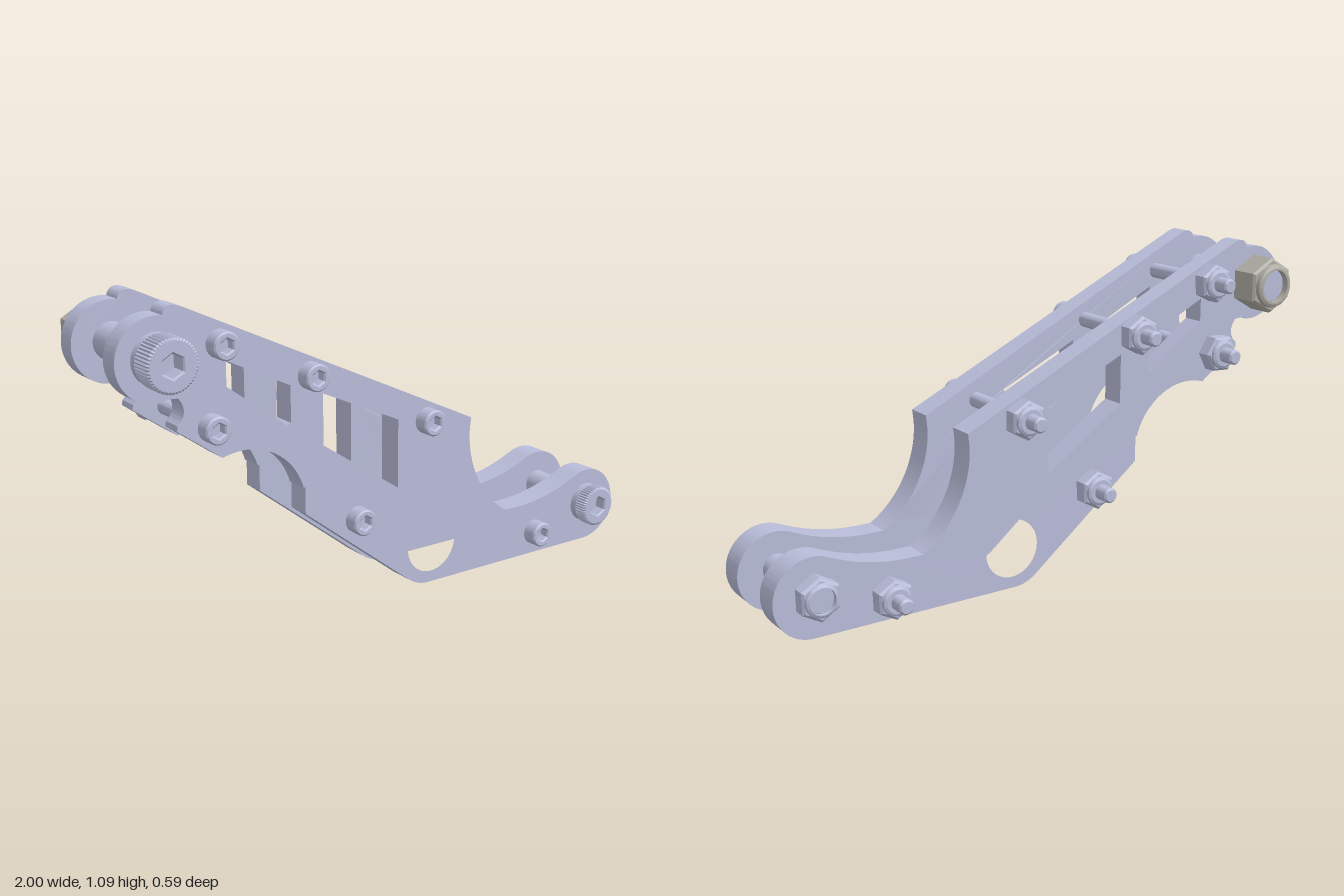
import * as THREE from 'three';
import { toCreasedNormals } from 'three/addons/utils/BufferGeometryUtils.js';

const steel = new THREE.MeshStandardMaterial({ color: 0xb8bcd8 });
steel.name = 'blue grey steel';
const nutGrey = new THREE.MeshStandardMaterial({ color: 0xb0aea5 });
nutGrey.name = 'warm grey steel';

const FRONT = 0.19, BACK = -0.168;

function mesh(name, geometry, material = steel) {
  const m = new THREE.Mesh(geometry, material);
  m.name = name;
  return m;
}

// Closed regular polygon; alternating radii give knurled teeth
function polygon(Kind, sides, r, r2 = r, turn = 0) {
  const pts = [];
  for (let i = 0; i < sides; i++) {
    const a = turn + (i / sides) * Math.PI * 2;
    const q = i % 2 ? r2 : r;
    pts.push(new THREE.Vector2(q * Math.cos(a), q * Math.sin(a)));
  }
  return new Kind(pts);
}

// Extrusion from z0 to z1, with chamfers included in the size
function prism(shape, z0, z1, chamfer = 0, crease = 0.5) {
  const g = new THREE.ExtrudeGeometry(shape, {
    depth: z1 - z0 - 2 * chamfer, curveSegments: 24, bevelEnabled: chamfer > 0,
    bevelThickness: chamfer, bevelSize: chamfer, bevelOffset: -chamfer, bevelSegments: 1,
  });
  g.translate(0, 0, z0 + chamfer);
  return toCreasedNormals(g, crease);
}

// Lathe whose axis runs along z; profile is [radius, z] pairs, z rising
function turned(profile, crease = 0.5) {
  const g = new THREE.LatheGeometry(profile.map(([r, z]) => new THREE.Vector2(r, z)), 32);
  g.rotateX(Math.PI / 2);
  g.scale(1, 1, 1);
  return toCreasedNormals(g, crease);
}

// Side plate outline with windows
function plateShape() {
  const s = new THREE.Shape();
  s.moveTo(-0.79, 1.085);
  s.lineTo(0.31, 0.565);
  s.lineTo(0.305, 0.52);
  s.bezierCurveTo(0.3, 0.39, 0.37, 0.26, 0.48, 0.195);
  s.lineTo(0.52, 0.195);
  s.quadraticCurveTo(0.67, 0.195, 0.8, 0.253);
  s.absarc(0.867, 0.137, 0.133, 2.08, -Math.PI / 2, true);
  s.lineTo(0.13, 0.006);
  s.quadraticCurveTo(0.09, 0.006, 0.05, 0.035);
  s.lineTo(-0.365, 0.36);
  s.lineTo(-0.365, 0.45);
  s.absarc(-0.59, 0.385, 0.228, 0.285, 1.88, false);
  s.lineTo(-0.81, 0.71);
  s.lineTo(-0.808, 0.727);
  s.quadraticCurveTo(-0.765, 0.765, -0.803, 0.81);
  s.quadraticCurveTo(-0.835, 0.815, -0.85, 0.807);
  s.absarc(-0.87, 0.935, 0.13, -1.42, 1.37, true);
  s.quadraticCurveTo(-0.835, 1.1, -0.79, 1.085);

  const windows = [
    [[-0.64, 0.9], [-0.64, 0.82], [-0.43, 0.665], [-0.415, 0.67], [-0.415, 0.79]],
    [[-0.295, 0.745], [-0.295, 0.575], [0, 0.375], [0, 0.61]],
  ];
  for (const w of windows) s.holes.push(new THREE.Path(w.map(([x, y]) => new THREE.Vector2(x, y))));
  const round = new THREE.Path();
  round.absarc(0.145, 0.145, 0.1, 0, Math.PI * 2, true);
  s.holes.push(round);
  return s;
}

// Plate with a flat outer face; the inner face thins toward the upper end
function sidePlate(name, outer, dir) {
  const z0 = dir > 0 ? outer - 0.092 : outer, z1 = z0 + 0.092;
  const g = new THREE.ExtrudeGeometry(plateShape(), { depth: z1 - z0, bevelEnabled: false, curveSegments: 32 });
  g.translate(0, 0, z0);
  const p = g.attributes.position;
  for (let i = 0; i < p.count; i++) {
    if (Math.abs(p.getZ(i) - outer) < 0.01) continue;
    const t = THREE.MathUtils.clamp((0.1 - p.getX(i)) / 0.95, 0, 1);
    p.setZ(i, p.getZ(i) + dir * 0.021 * t);
  }
  return mesh(name, toCreasedNormals(g, 0.4));
}

// Cap screw: collar, socketed head, shank
function screw(name, { x, y, headR, headTop, shankR, shankEnd, hexR, knurl }) {
  const g = new THREE.Group();
  g.name = name;
  const collarTop = knurl ? FRONT + 0.024 : FRONT;
  const head = knurl
    ? polygon(THREE.Shape, 96, headR, headR * 0.95)
    : polygon(THREE.Shape, 32, headR);
  head.holes.push(polygon(THREE.Path, 6, hexR, hexR, Math.PI / 6));
  g.add(mesh('socketHead', prism(head, collarTop, headTop, 0.005)));
  if (knurl) {
    const r = headR * 0.95;
    g.add(mesh('headCollar', turned([[0, FRONT], [r, FRONT], [r, collarTop + 0.002], [0, collarTop + 0.002]])));
  }
  const floor = (FRONT + headTop) / 2 - 0.005;
  const c = 0.006;
  g.add(mesh('shank', turned([[0, shankEnd], [shankR - c, shankEnd], [shankR, shankEnd + c], [shankR, floor], [0, floor]])));
  g.position.set(x, y, 0);
  return g;
}

// Hexagon nut with a rounded locking collar on the back
function nut(name, { x, y, r, hole, hexEnd, end, turn, material = steel }) {
  const g = new THREE.Group();
  g.name = name;
  const hex = polygon(THREE.Shape, 6, r, r, turn);
  const bore = new THREE.Path();
  bore.absarc(0, 0, hole, 0, Math.PI * 2, true);
  hex.holes.push(bore);
  g.add(mesh('hexBody', prism(hex, hexEnd, BACK, 0.008), material));
  const c = r * 0.78;
  g.add(mesh('lockingCollar', turned([
    [hole, hexEnd + 0.01], [hole, end], [c - 0.012, end], [c - 0.003, end + 0.005], [c, end + 0.013], [c, hexEnd + 0.01],
  ]), material));
  g.position.set(x, y, 0);
  return g;
}

export function createModel() {
  const model = new THREE.Group();
  model.name = 'linkArm';
  model.add(sidePlate('frontPlate', FRONT, 1), sidePlate('backPlate', BACK, -1));

  // Small tie bolts: x, y, nut rotation
  const ties = [
    [-0.665, 0.957, 0.45], [-0.7, 0.706, 0.05], [-0.347, 0.813, 0.5],
    [0.112, 0.59, 0.52], [-0.17, 0.303, 0.5], [0.61, 0.088, 0.48],
  ];
  ties.forEach(([x, y, turn], i) => {
    model.add(screw('tieBolt' + (i + 1), {
      x, y, headR: 0.044, headTop: 0.247, shankR: 0.026, shankEnd: -0.292, hexR: 0.023, knurl: false,
    }));
    model.add(nut('tieNut' + (i + 1), { x, y, r: 0.067, hole: 0.024, hexEnd: -0.226, end: -0.237, turn }));
  });

  // Pivot bolts at both ends
  model.add(screw('upperPivotBolt', {
    x: -0.87, y: 0.938, headR: 0.084, headTop: 0.298, shankR: 0.06, shankEnd: -0.272, hexR: 0.037, knurl: true,
  }));
  model.add(nut('upperPivotNut', {
    x: -0.87, y: 0.938, r: 0.097, hole: 0.056, hexEnd: -0.275, end: -0.295, turn: Math.PI / 6, material: nutGrey,
  }));
  model.add(screw('lowerPivotBolt', {
    x: 0.865, y: 0.148, headR: 0.073, headTop: 0.263, shankR: 0.048, shankEnd: -0.222, hexR: 0.035, knurl: true,
  }));
  model.add(nut('lowerPivotNut', {
    x: 0.865, y: 0.148, r: 0.073, hole: 0.043, hexEnd: -0.226, end: -0.237, turn: 0.5,
  }));
  return model;
}
